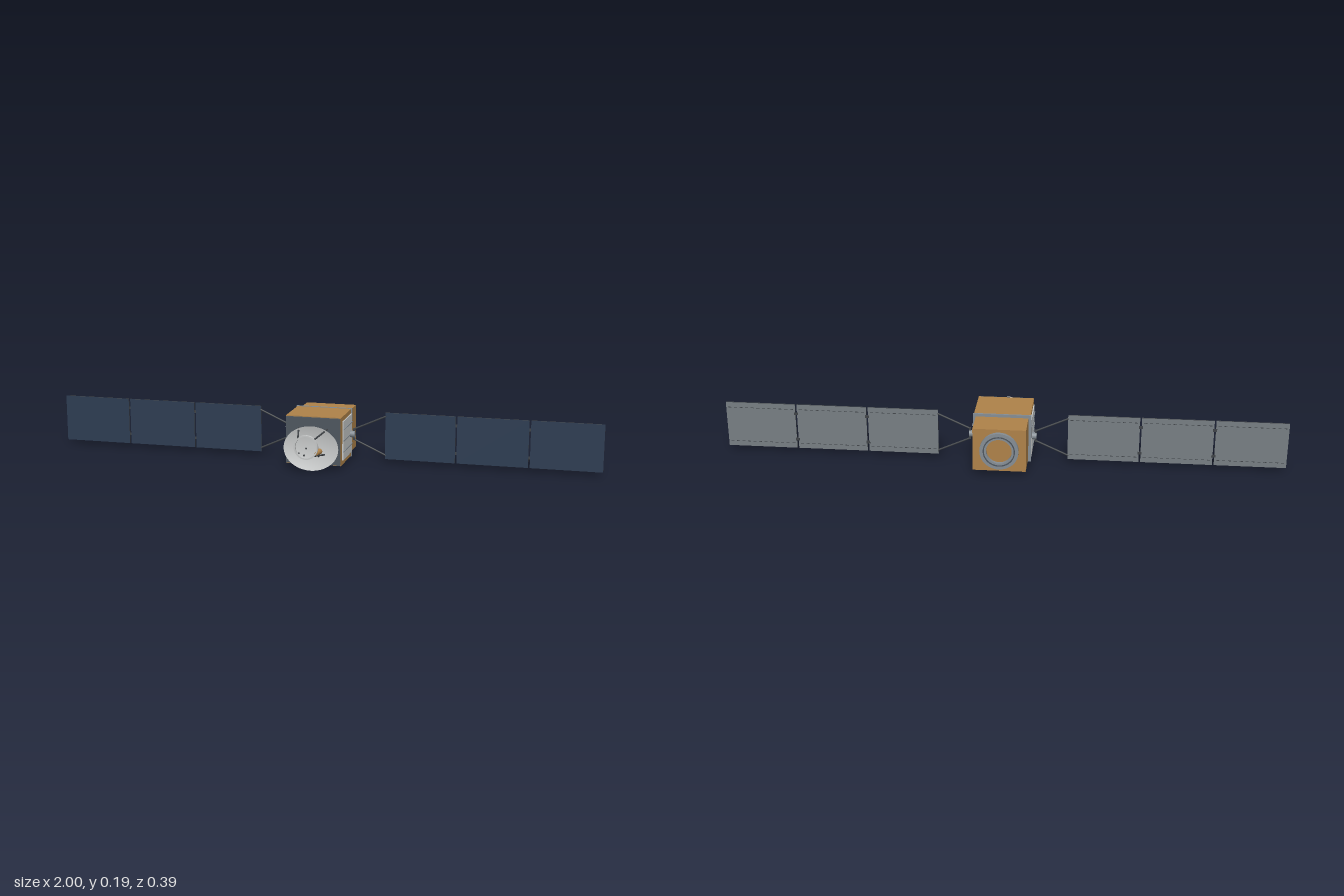
import * as THREE from 'three';
import { toCreasedNormals } from 'three/addons/utils/BufferGeometryUtils.js';

const CY = 0.105; // height of the satellite's main axis
const PANEL_Z = -0.048;

function paint(name, color, side = THREE.FrontSide) {
  const m = new THREE.MeshStandardMaterial({ color, side });
  m.name = name;
  return m;
}

export function createModel() {
  const gold = paint('gold foil', 0xae8249);
  const silver = paint('silver', 0xc6c8c8);
  const grey = paint('grey metal', 0x858d94);
  const slate = paint('dark slate', 0x4e565e);
  const dark = paint('dark rod', 0x3f4347);
  const navy = paint('solar cell', 0x2d3c52);
  const panelBack = paint('panel back', 0x777e83);

  const root = new THREE.Group();
  root.name = 'satellite';

  const add = (name, geometry, material, x = 0, y = 0, z = 0, parent = root) => {
    const mesh = new THREE.Mesh(geometry, material);
    mesh.name = name;
    mesh.position.set(x, y, z);
    parent.add(mesh);
    return mesh;
  };
  const box = (name, w, h, d, material, x, y, z, parent) =>
    add(name, new THREE.BoxGeometry(w, h, d), material, x, y, z, parent);

  // Straight round bar between two points
  const rod = (name, a, b, r, material, parent, rEnd = r) => {
    const p = new THREE.Vector3(...a), q = new THREE.Vector3(...b);
    const mesh = add(name, new THREE.CylinderGeometry(rEnd, r, p.distanceTo(q), 12), material, 0, 0, 0, parent);
    mesh.position.copy(p).add(q).multiplyScalar(0.5);
    mesh.quaternion.setFromUnitVectors(new THREE.Vector3(0, 1, 0), q.sub(p).normalize());
    return mesh;
  };

  // Flat-edged ring around the z axis
  const ring = (name, outer, inner, z0, z1, material) => {
    const profile = [[inner, z0], [outer, z0], [outer, z1], [inner, z1], [inner, z0]]
      .map(([r, z]) => new THREE.Vector2(r, z));
    const g = new THREE.LatheGeometry(profile, 40).rotateX(Math.PI / 2);
    return add(name, toCreasedNormals(g, 0.6), material, 0, CY, 0);
  };

  // Body boxes, collar and front plate
  box('mainBody', 0.2, 0.174, 0.158, gold, 0, CY, 0.006);
  box('rearBody', 0.186, 0.157, 0.107, gold, 0, CY, -0.1275);
  box('bodyCollar', 0.206, 0.178, 0.006, grey, 0, CY, -0.073);
  box('frontPlate', 0.196, 0.168, 0.008, slate, 0, CY, 0.089);

  // Docking ring at the back
  ring('rearRing', 0.068, 0.045, -0.193, -0.18, grey);
  ring('rearRingLip', 0.056, 0.052, -0.195, -0.192, slate);

  for (const s of [-1, 1]) {
    // Side radiator with its ribs
    const side = new THREE.Group();
    side.name = s > 0 ? 'leftSide' : 'rightSide';
    root.add(side);
    box('radiator', 0.005, 0.141, 0.138, silver, s * 0.1015, CY, -0.002, side);
    for (const y of [0.066, CY, 0.146])
      box('radiatorRib', 0.003, 0.003, 0.138, grey, s * 0.105, y, -0.002, side);

    // Hub and yoke that carry the solar wing
    const wing = new THREE.Group();
    wing.name = s > 0 ? 'leftWing' : 'rightWing';
    root.add(wing);
    add('wingHub', new THREE.CylinderGeometry(0.012, 0.012, 0.018, 24).rotateZ(Math.PI / 2),
      grey, s * 0.111, CY, PANEL_Z, wing);
    box('yokeFoot', 0.006, 0.044, 0.007, dark, s * 0.117, CY, PANEL_Z, wing);
    for (const v of [-1, 1])
      rod('yokeArm', [s * 0.115, CY + v * 0.018, PANEL_Z], [s * 0.234, CY + v * 0.072, PANEL_Z], 0.0032, dark, wing);

    // Three solar panels: cells in front, plain backing behind
    const faces = [dark, dark, dark, dark, navy, panelBack];
    for (let i = 0; i < 3; i++) {
      const x = s * (0.357 + i * 0.258);
      box('solarPanel', 0.252, 0.17, 0.005, faces, x, CY, PANEL_Z, wing);
      // Dashed seams on the panel back
      for (const v of [-1, 1])
        for (let k = 0; k < 12; k++)
          box('backSeam', 0.011, 0.002, 0.001, dark, x + (k - 5.5) * 0.0205, CY + v * 0.066, PANEL_Z - 0.0028, wing);
    }
    // Hinges across the gaps
    for (let i = 0; i < 2; i++)
      for (const v of [-1, 1])
        box('panelHinge', 0.014, 0.01, 0.003, dark, s * (0.486 + i * 0.258), CY + v * 0.05, PANEL_Z - 0.003, wing);
  }

  // Shallow oval dish, tipped slightly upwards
  const dish = new THREE.Group();
  dish.name = 'dish';
  dish.position.set(0, 0.084, 0.108);
  dish.rotation.x = -0.07;
  root.add(dish);
  const bowl = (lift, inward) => {
    const pts = [];
    for (let i = 0; i <= 10; i++) pts.push(new THREE.Vector2(i / 10, 0.0145 * (i / 10) ** 2 + lift * (1 - i / 10)));
    if (inward) pts.reverse();
    return new THREE.LatheGeometry(pts, 48).rotateX(Math.PI / 2).scale(0.099, 0.079, 1);
  };
  add('dishFront', bowl(0.002, true), silver, 0, 0, 0, dish);
  add('dishBack', bowl(0, false), grey, 0, 0, 0, dish);

  // Dish supports
  for (const s of [-1, 1]) {
    rod('dishSupport', [s * 0.035, 0.042, 0.09], [s * 0.025, 0.06, 0.12], 0.003, dark);
    rod('dishBrace', [s * 0.02, 0.074, 0.09], [s * 0.02, 0.082, 0.113], 0.003, dark);
  }

  // Open ring held ahead of the dish on four struts
  ring('frontRing', 0.043, 0.038, 0.184, 0.194, silver);
  for (const s of [-1, 1])
    for (const v of [-1, 1])
      rod('ringStrut', [s * 0.052, CY + v * 0.045, 0.092], [s * 0.029, CY + v * 0.029, 0.188], 0.003, dark);

  // Feed horn
  rod('feedHorn', [0.036, 0.084, 0.187], [0.04, 0.086, 0.155], 0.006, gold, root, 0.0105);

  return root;
}
